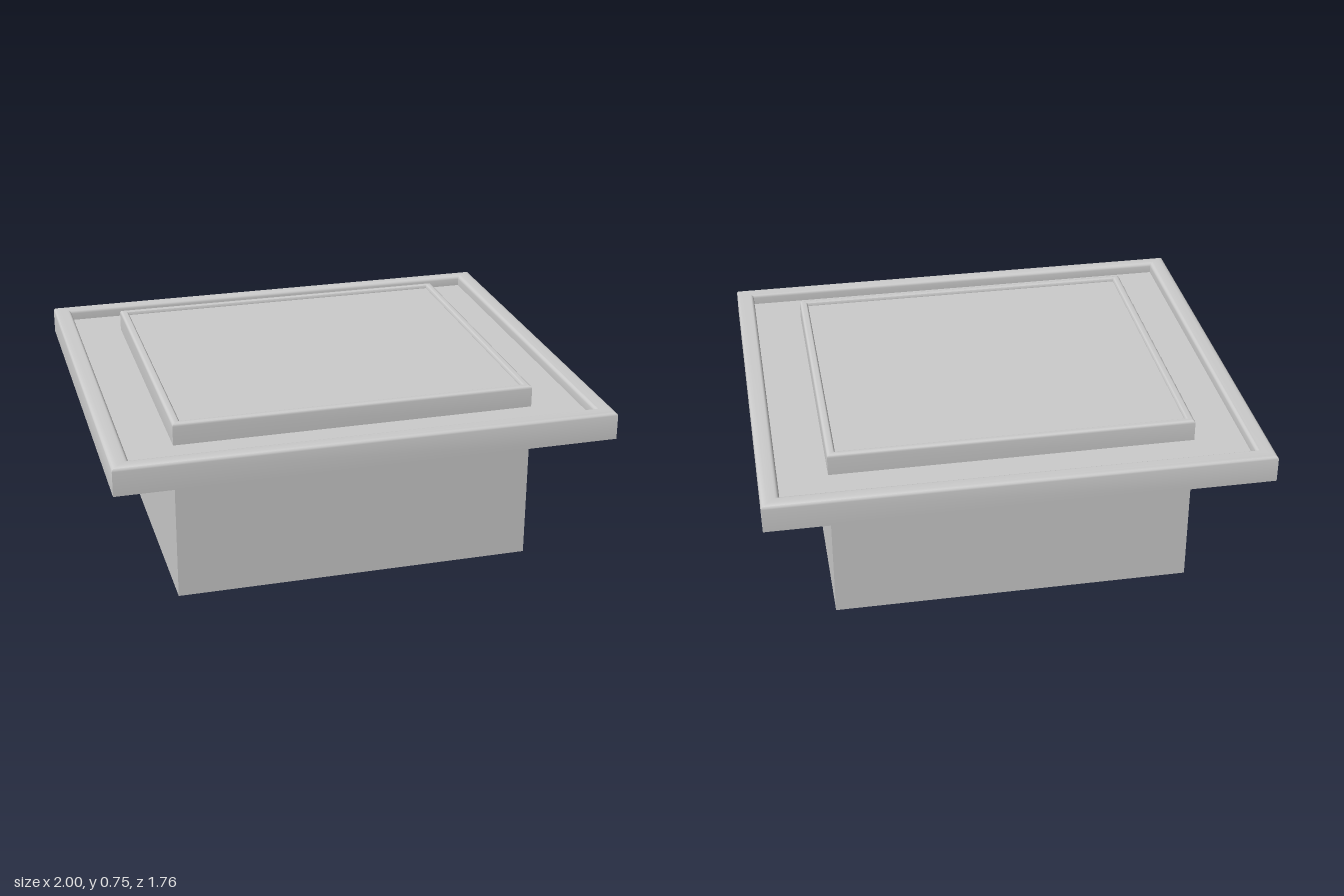
import * as THREE from 'three';
import { toCreasedNormals } from 'three/addons/utils/BufferGeometryUtils.js';

const DEPTH = 0.878; // depth of every section relative to its width

const material = new THREE.MeshStandardMaterial({ color: 0xcccccc, side: THREE.DoubleSide });

// Sweeps a profile of [half width, height] points round a rectangle.
function rectangularSweep(name, profile) {
  const points = profile.map(([r, y]) => new THREE.Vector2(r * Math.SQRT2, y));
  const geometry = new THREE.LatheGeometry(points, 4, Math.PI / 4);
  geometry.scale(1, 1, DEPTH);
  const mesh = new THREE.Mesh(toCreasedNormals(geometry, 0.6), material);
  mesh.name = name;
  return mesh;
}

// Quarter-round edge about (cx, cy), from angle a to angle b in degrees.
function round(cx, cy, rx, ry, a, b, steps = 4) {
  return Array.from({ length: steps + 1 }, (_, i) => {
    const t = THREE.MathUtils.degToRad(a + ((b - a) * i) / steps);
    return [cx + rx * Math.cos(t), cy + ry * Math.sin(t)];
  });
}

export function createModel() {
  const group = new THREE.Group();
  group.name = 'cappedPedestal';

  // Hollow base, open at the bottom
  group.add(rectangularSweep('base', [[0.73, 0], [0.73, 0.52]]));

  // Sloping underside and the flat lip beneath the rim
  group.add(rectangularSweep('flare', [[0.73, 0.52], [0.925, 0.59], [1, 0.59]]));

  // Raised rim with rounded edges, falling to the recessed ledge
  group.add(rectangularSweep('rim', [
    [1, 0.59],
    ...round(0.975, 0.69, 0.025, 0.015, 0, 90),
    ...round(0.945, 0.69, 0.018, 0.015, 90, 180),
    [0.927, 0.66],
  ]));
  group.add(rectangularSweep('ledge', [[0.927, 0.66], [0.73, 0.66]]));

  // Narrow raised frame round the top panel
  group.add(rectangularSweep('topFrame', [
    [0.73, 0.66],
    ...round(0.717, 0.737, 0.013, 0.013, 0, 90),
    ...round(0.706, 0.74, 0.01, 0.01, 90, 180),
    [0.696, 0.735],
  ]));

  // Flat top panel
  const panel = new THREE.Mesh(new THREE.PlaneGeometry(1.392, 1.392 * DEPTH), material);
  panel.name = 'topPanel';
  panel.rotation.x = -Math.PI / 2;
  panel.position.y = 0.735;
  group.add(panel);

  return group;
}
